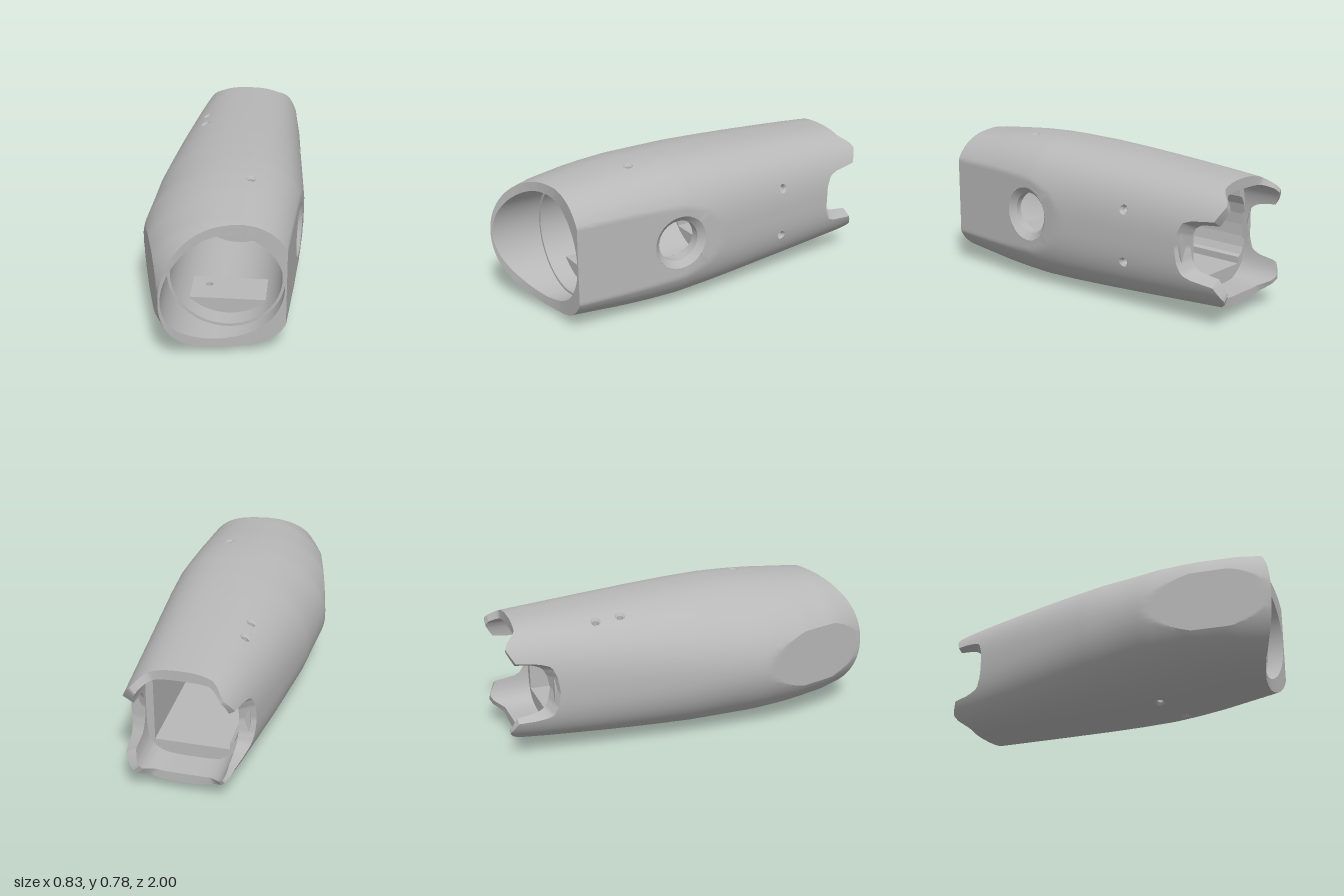
import * as THREE from 'three';
import { toCreasedNormals } from 'three/addons/utils/BufferGeometryUtils.js';

const { lerp, clamp } = THREE.MathUtils;
const CY = 0.39, XC = 0.05, N = 172;

// piecewise linear lookup in [[key, value], ...]
function look(table, k) {
  if (k <= table[0][0]) return table[0][1];
  for (let i = 1; i < table.length; i++) {
    const [a, va] = table[i - 1], [b, vb] = table[i];
    if (k <= b) return lerp(va, vb, (k - a) / (b - a));
  }
  return table[table.length - 1][1];
}

// profiles along z: half height, widths to either side; front cut by x; rear notch by height
const H = [[-1, .318], [-.92, .326], [-.5, .355], [-.2, .374], [0, .384], [.2, .39], [.35, .388], [.5, .38], [.8, .352], [1, .32]];
const AL = [[-1, .29], [-.75, .33], [-.4, .387], [0, .445], [.36, .47], [.6, .455], [.8, .405], [.9, .36], [1, .309]];
const AR = [[-1, .3], [-.75, .315], [-.4, .336], [0, .362], [.2, .371], [.8, .338], [1, .32]];
const FRONT = [[-.26, 1], [-.2, .95], [-.13, .9], [-.06, .864], [0, .841], [.07, .822], [.13, .811], [.2, .808], [.35, .808]];
const NOTCH = [[0, -.785], [.08, -.797], [.13, -.82], [.157, -.865], [.165, -.96], [.21, -.985], [.24, -1], [.265, -.985], [.3, -.935], [.33, -.928]];

// outer cross-section point at loop position u and depth z
function section(u, z) {
  u = ((u % N) + N) % N;
  const h = look(H, z), aL = look(AL, z), aR = look(AR, z);
  const nR = 2.6, nL = lerp(2.6, 2, clamp((z + .8) / 1, 0, 1));
  const right = .41 - .075 * Math.max(z, -.02), left = -.42 + .25 * (z - .36);
  let x, dy;
  if (u < 28) {
    dy = .21 * (u / 14 - 1);
    x = XC + aR * (1 - (Math.abs(dy) / h) ** nR) ** (1 / nR);
  } else {
    const tR = Math.asin((.21 / h) ** (nR / 2));
    const tL = Math.max(.25, Math.acos(clamp(((XC - left) / aL) ** (nL / 2), 0, 1)));
    const t = u < 88 ? lerp(tR, Math.PI - tL, (u - 28) / 60)
      : u < 112 ? lerp(Math.PI - tL, Math.PI + tL, (u - 88) / 24)
        : lerp(Math.PI + tL, 2 * Math.PI - tR, (u - 112) / 60);
    const c = Math.cos(t), s = Math.sin(t), n = c > 0 ? nR : nL;
    x = XC + Math.sign(c) * (c > 0 ? aR : aL) * Math.abs(c) ** (2 / n);
    dy = Math.sign(s) * h * Math.abs(s) ** (2 / n);
  }
  return new THREE.Vector3(clamp(x, z > .3 ? left : -1, right), CY + dy, z);
}
const rearDy = u => Math.abs(section(u, -.92).y - CY);
const rearZ = u => look(NOTCH, rearDy(u));
const frontZ = u => {
  let z = .85;
  for (let i = 0; i < 14; i++) z = look(FRONT, section(u, z).x);
  return z;
};

// outer skin, rows 0..60
function outer(u, v) {
  if (v < 10) return section(u, lerp(rearZ(u) + .035 * clamp((.165 - rearDy(u)) / .03, 0, 1), -.7, v / 10));
  if (v <= 52) return section(u, lerp(-.7, .7, (v - 10) / 42));
  return section(u, lerp(.7, frontZ(u), (v - 52) / 8));
}
// round front bore, rows 0..30, with a lip at the mouth
function bore(u, v) {
  const p = outer(u, 60), a = Math.atan2(p.y - CY, p.x - .045);
  const r = v <= 24 ? .28 : .295, x = .045 + r * Math.cos(a);
  const z = v <= 24 ? lerp(-.1, .72, v / 24) : lerp(.72, look(FRONT, x), clamp((v - 25) / 5, 0, 1));
  return new THREE.Vector3(x, CY + r * Math.sin(a), z);
}
// shallow squarish recess at the rear, rows 0..6
function recess(u, v) {
  const p = section(u, -.92), a = Math.atan2(p.y - CY, p.x - .04);
  const c = Math.cos(a), s = Math.sin(a);
  const r = ((c / .24) ** 4 + (s / .27) ** 4) ** -.25;
  return new THREE.Vector3(.04 + r * c, CY + r * s, lerp(rearZ(u), -.76, v / 6));
}

// loop position and row where a surface passes through (a, b) on two axes
function locate(f, axes, a, b, guess) {
  let [u, v] = guess;
  const e = .01, [A, B] = axes;
  for (let k = 0; k < 10; k++) {
    const p = f(u, v), pu = f(u + e, v), pv = f(u, v + e);
    const m = (pu[A] - p[A]) / e, n = (pv[A] - p[A]) / e, o = (pu[B] - p[B]) / e, q = (pv[B] - p[B]) / e;
    const det = m * q - n * o || 1e-9, da = a - p[A], db = b - p[B];
    u += clamp((q * da - n * db) / det, -4, 4);
    v += clamp((m * db - o * da) / det, -4, 4);
  }
  return [u, v];
}
function seed(f, rows, hole) {
  let best = 1e9, at = [0, 0];
  const [A, B] = hole.axes;
  for (let i = 0; i < N; i++) for (let j = 0; j < rows; j++) {
    const p = f(i, j);
    if ((p[hole.side] - (hole.side === 'y' ? CY : 0)) * hole.sign < .05) continue;
    const d = Math.hypot(p[A] - hole.a, p[B] - hole.b);
    if (d < best) { best = d; at = [i, j]; }
  }
  return locate(f, hole.axes, hole.a, hole.b, at);
}
function circle(f, hole, r, guess, angles) {
  return angles.map(t => locate(f, hole.axes, hole.a + r * Math.cos(t), hole.b + r * Math.sin(t), guess));
}
const EVEN = Array.from({ length: 33 }, (_, i) => i / 32 * 2 * Math.PI);

function build(quads) {
  const pos = [];
  for (const [a, b, c, d] of quads) for (const p of [a, b, c, a, c, d]) pos.push(p.x, p.y, p.z);
  const g = new THREE.BufferGeometry();
  g.setAttribute('position', new THREE.Float32BufferAttribute(pos, 3));
  return toCreasedNormals(g, .45);
}
function strips(loops) {
  const q = [];
  for (let k = 1; k < loops.length; k++) for (let i = 1; i < loops[k].length; i++)
    q.push([loops[k - 1][i - 1], loops[k - 1][i], loops[k][i], loops[k][i - 1]]);
  return q;
}
// grid skin with round holes cut in it
function skin(f, rows, cuts, flip) {
  const quads = [], blocks = [];
  for (const { hole, r } of cuts) {
    const c = seed(f, rows, hole), ring = circle(f, hole, r, c, EVEN);
    const us = ring.map(p => p[0]), vs = ring.map(p => p[1]);
    const b = [Math.floor(Math.min(...us)), Math.ceil(Math.max(...us)), Math.floor(Math.min(...vs)), Math.ceil(Math.max(...vs))];
    blocks.push(b);
    const edge = [];
    for (let i = b[0]; i < b[1]; i++) edge.push([i, b[2]]);
    for (let j = b[2]; j < b[3]; j++) edge.push([b[1], j]);
    for (let i = b[1]; i > b[0]; i--) edge.push([i, b[3]]);
    for (let j = b[3]; j >= b[2]; j--) edge.push([b[0], j]);
    const out = edge.map(([u, v]) => f(u, v));
    const angles = out.map(p => Math.atan2(p[hole.axes[1]] - hole.b, p[hole.axes[0]] - hole.a));
    quads.push(...strips([out, circle(f, hole, r, c, angles).map(([u, v]) => f(u, v))]));
  }
  const P = Array.from({ length: N }, (_, i) => Array.from({ length: rows + 1 }, (_, j) => f(i, j)));
  for (let i = 0; i < N; i++) for (let j = 0; j < rows; j++) {
    if (blocks.some(b => [i, i - N, i + N].some(k => k >= b[0] && k < b[1]) && j >= b[2] && j < b[3])) continue;
    const k = (i + 1) % N;
    quads.push([P[i][j], P[k][j], P[k][j + 1], P[i][j + 1]]);
  }
  return build(flip ? quads.map(q => q.reverse()) : quads);
}

export function createModel() {
  const group = new THREE.Group();
  const grey = new THREE.MeshStandardMaterial({ color: 0xb8b8b8, side: THREE.DoubleSide });
  grey.name = 'light grey';
  const add = (name, g) => {
    const m = new THREE.Mesh(g, grey);
    m.name = name;
    group.add(m);
    return m;
  };

  // holes: one large port on the left side, small screw holes elsewhere
  const sideHole = (z, y) => ({ axes: ['z', 'y'], side: 'x', sign: 1, a: z, b: y });
  const flatHole = (x, z, sign) => ({ axes: ['x', 'z'], side: 'y', sign, a: x, b: z });
  const port = sideHole(.23, .393);
  const screws = [sideHole(-.435, .532), sideHole(-.435, .258), flatHole(-.165, -.52, 1), flatHole(-.165, -.387, 1),
    flatHole(.145, .395, 1), flatHole(.145, .31, -1), flatHole(-.07, .27, -1)];

  add('outerShell', skin(outer, 60, [{ hole: port, r: .146 }, ...screws.map(hole => ({ hole, r: .026 }))], false));
  add('frontBore', skin(bore, 30, [{ hole: port, r: .112 }], true));
  add('rearRecess', skin(recess, 6, [], true));

  // rims joining the skin to the inside
  const around = Array.from({ length: N + 1 }, (_, i) => i % N);
  add('frontRim', build(strips([around.map(u => outer(u, 60)), around.map(u => bore(u, 30))])));
  add('rearRim', build(strips([around.map(u => recess(u, 0)), around.map(u => outer(u, 0))])));

  // countersunk port through the wall
  const ringOn = (f, rows, hole, r) => circle(f, hole, r, seed(f, rows, hole), EVEN).map(([u, v]) => f(u, v));
  const mouth = ringOn(outer, 60, port, .146), inside = ringOn(bore, 30, port, .112);
  const neck = ringOn(outer, 60, port, .112).map(p => p.setX(p.x - .03));
  add('sidePort', build(strips([mouth, neck, inside])));

  // small screw holes
  screws.forEach(hole => {
    const sink = (r, d) => ringOn(outer, 60, hole, r).map(p => { p[hole.side] -= hole.sign * d; return p; });
    const end = sink(.016, .045);
    const mid = end[0].clone().add(end[16]).multiplyScalar(.5);
    add('screwHole', build(strips([sink(.026, 0), sink(.016, .012), end, end.map(() => mid)])));
  });

  // solid core with a stepped boxy channel, between the bore and the rear recess
  const wall = new THREE.Shape().absarc(.045, CY, .3, 0, Math.PI * 2);
  const opening = [[-.15, .195], [.24, .195], [.24, .592], [.095, .592], [.095, .662], [-.1, .662], [-.1, .61], [-.15, .61],
    [-.15, .555], [-.17, .545], [-.19, .505], [-.202, .45], [-.205, .39], [-.202, .33], [-.19, .275], [-.17, .24], [-.15, .23]];
  wall.holes.push(new THREE.Path(opening.map(p => new THREE.Vector2(...p))));
  add('channelCore', new THREE.ExtrudeGeometry(wall, { depth: .675, bevelEnabled: false, curveSegments: 48 })).position.z = -.775;

  // mounting bar across the floor of the bore, with a screw hole in its top
  const bar = new THREE.Shape([[-.15, .42], [.24, .42], [.24, .62], [-.15, .62]].map(p => new THREE.Vector2(...p)));
  bar.holes.push(new THREE.Path().absarc(-.06, .49, .018, 0, Math.PI * 2, true));
  const barMesh = add('mountingBar', new THREE.ExtrudeGeometry(bar, { depth: .085, bevelEnabled: false }));
  barMesh.rotation.x = Math.PI / 2;
  barMesh.position.y = .195;
  return group;
}
